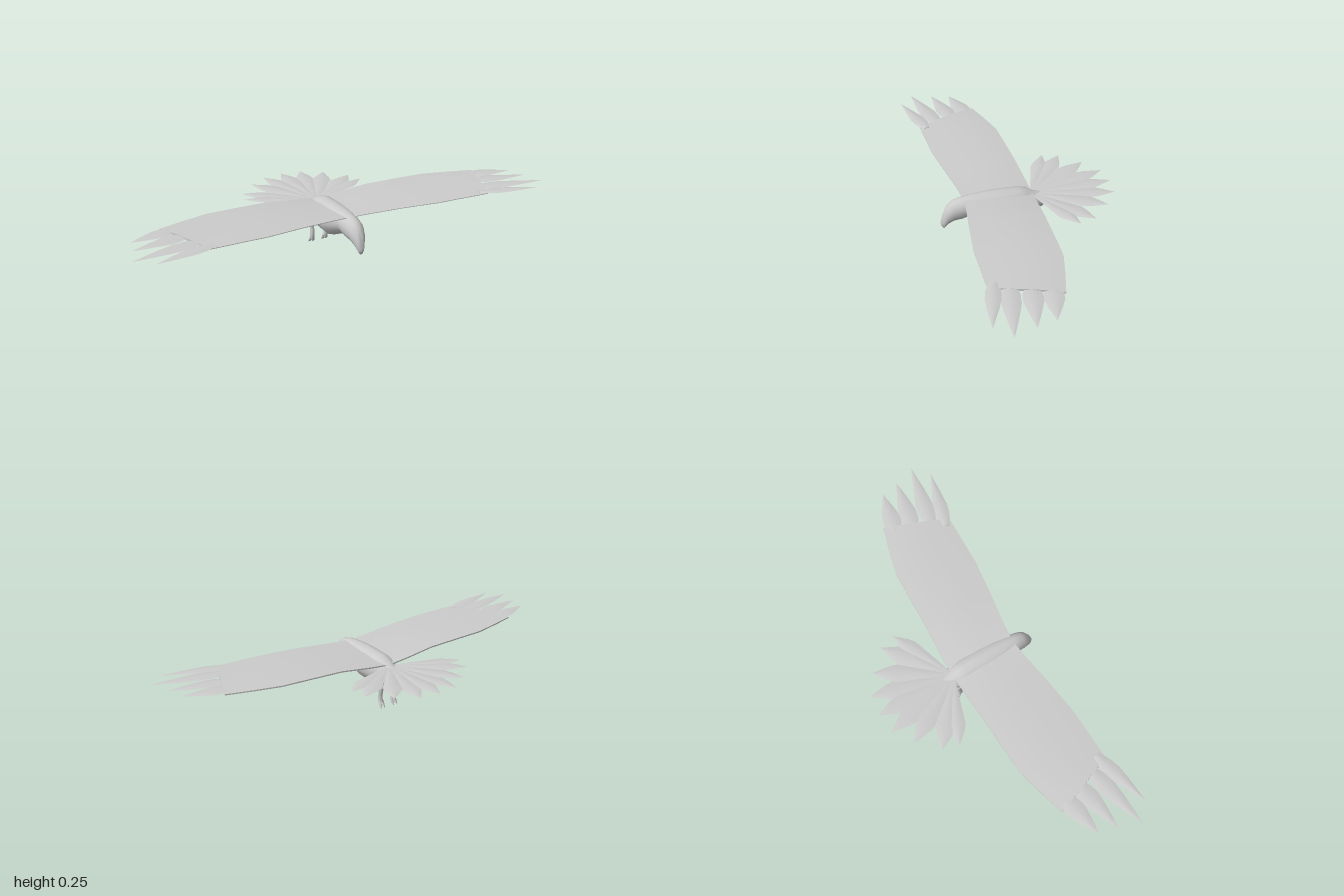
import * as THREE from 'three';
import { toCreasedNormals } from 'three/addons/utils/BufferGeometryUtils.js';

const material = new THREE.MeshStandardMaterial({ color: 0xcccccc, side: THREE.DoubleSide });

// Skin a list of equal-length rings ([x, y, z] points) and close both ends.
function loft(rings, crease = 0.9) {
  const n = rings[0].length, pos = rings.flat(2), index = [];
  for (let r = 0; r < rings.length - 1; r++) {
    for (let i = 0; i < n; i++) {
      const a = r * n + i, b = r * n + (i + 1) % n;
      index.push(a, b, b + n, a, b + n, a + n);
    }
  }
  const last = (rings.length - 1) * n;
  for (let i = 1; i < n - 1; i++) index.push(0, i + 1, i, last, last + i, last + i + 1);
  // Turn the faces outward if the enclosed volume is negative.
  const p = (i) => new THREE.Vector3().fromArray(pos, i * 3);
  let volume = 0;
  for (let i = 0; i < index.length; i += 3) {
    volume += p(index[i]).dot(p(index[i + 1]).cross(p(index[i + 2])));
  }
  if (volume < 0) index.reverse();
  const g = new THREE.BufferGeometry();
  g.setAttribute('position', new THREE.Float32BufferAttribute(pos, 3));
  g.setIndex(index);
  return toCreasedNormals(g, crease);
}

function add(parent, name, geometry) {
  const mesh = new THREE.Mesh(geometry, material);
  mesh.name = name;
  parent.add(mesh);
  return mesh;
}

// Flat pointed feather with a lens section; [t, relative width] along its length.
function feather(base, tip, halfWidth, thickness, profile) {
  const a = new THREE.Vector3(...base), b = new THREE.Vector3(...tip);
  const d = b.clone().sub(a).normalize();
  const rings = profile.map(([t, w]) => {
    const c = a.clone().lerp(b, t), s = halfWidth * w, h = thickness * Math.min(1, w * 1.4);
    return [[-1, 0], [-0.5, 0.75], [0, 1], [0.5, 0.75], [1, 0], [0.5, -0.75], [0, -1], [-0.5, -0.75]]
      .map(([u, v]) => [c.x - d.z * s * u, c.y + h * v, c.z + d.x * s * u]);
  });
  return loft(rings);
}

// Body, head and beak: [z, bottom, top, half width]
function bodyGeometry() {
  const sections = [
    [0.403, 0.108, 0.128, 0.004], [0.39, 0.089, 0.172, 0.017], [0.372, 0.112, 0.205, 0.029],
    [0.345, 0.127, 0.228, 0.038], [0.305, 0.132, 0.238, 0.043], [0.265, 0.146, 0.242, 0.048],
    [0.21, 0.121, 0.245, 0.06], [0.15, 0.094, 0.246, 0.068], [0.04, 0.097, 0.243, 0.064],
    [0, 0.109, 0.233, 0.056], [-0.03, 0.12, 0.212, 0.046], [-0.08, 0.141, 0.206, 0.034],
    [-0.14, 0.175, 0.202, 0.016], [-0.183, 0.195, 0.199, 0.003],
  ];
  const n = 14;
  return loft(sections.map(([z, y0, y1, w]) => Array.from({ length: n }, (_, i) => {
    const t = (i / n) * Math.PI * 2;
    return [w * Math.sin(t), (y0 + y1) / 2 + ((y1 - y0) / 2) * Math.cos(t), z];
  })), 1.2);
}

// Wing panel: [x back, z back, y back, x front, z front, y front]
function wingGeometry(side) {
  const sections = [
    [0.0, -0.022, 0.212, 0.0, 0.295, 0.229], [0.1, -0.019, 0.221, 0.1, 0.306, 0.233],
    [0.25, -0.012, 0.238, 0.25, 0.328, 0.239], [0.42, -0.006, 0.241, 0.42, 0.35, 0.24],
    [0.55, 0, 0.242, 0.52, 0.353, 0.241], [0.68, 0.033, 0.242, 0.61, 0.356, 0.241],
    [0.79, 0.065, 0.242, 0.68, 0.357, 0.241],
  ];
  const upper = [[0, 0.001], [0.15, 0.005], [0.4, 0.008], [0.7, 0.006], [1, 0.001]];
  const lower = [[1, -0.002], [0.7, -0.003], [0.4, -0.003], [0.15, -0.004], [0, -0.005]];
  return loft(sections.map(([xb, zb, yb, xf, zf, yf]) => [...upper, ...lower].map(([t, h]) => [
    side * (xb + (xf - xb) * t), yb + (yf - yb) * t + h, zb + (zf - zb) * t,
  ])));
}

// Tapered limb along a path of [x, y, z, radius]
function limb(points, side) {
  const n = 8;
  return loft(points.map(([x, y, z, r], k) => {
    const p = points[Math.max(0, k - 1)], q = points[Math.min(points.length - 1, k + 1)];
    const dy = q[1] - p[1], dz = q[2] - p[2], len = Math.hypot(dy, dz);
    return Array.from({ length: n }, (_, i) => {
      const t = (i / n) * Math.PI * 2, s = Math.sin(t) * r;
      return [side * (x + Math.cos(t) * r), y - (dz / len) * s, z + (dy / len) * s];
    });
  }), 1.2);
}

export function createModel() {
  const bird = new THREE.Group();
  bird.name = 'bird';
  add(bird, 'body', bodyGeometry());

  // Fanned tail
  const tail = new THREE.Group();
  tail.name = 'tail';
  bird.add(tail);
  const tailProfile = [[0, 0.05], [0.35, 0.52], [0.7, 1], [0.8, 0.78], [0.9, 0.4], [1, 0.02]];
  [[0, -0.4], [0.097, -0.387], [0.19, -0.325], [0.28, -0.235], [0.302, -0.16]].forEach(([x, z], i) => {
    for (const side of i ? [1, -1] : [1]) {
      const y = 0.208 - 0.0012 * (i % 2);
      add(tail, 'tailFeather', feather([0, 0.206, -0.015], [side * x, y, z], i === 4 ? 0.036 : 0.044, 0.0045, tailProfile));
    }
  });

  // Mirrored wings and legs
  const tipProfile = [[0, 0.55], [0.2, 0.95], [0.38, 1], [0.6, 0.7], [0.8, 0.37], [1, 0.02]];
  const tips = [ // base x, z, tip x, z, half width
    [0.74, 0.105, 0.945, 0.15, 0.043], [0.71, 0.185, 0.967, 0.235, 0.042],
    [0.68, 0.265, 1, 0.335, 0.04], [0.65, 0.325, 0.925, 0.4, 0.034],
  ];
  for (const side of [1, -1]) {
    const label = side > 0 ? 'left' : 'right';
    const wing = new THREE.Group();
    wing.name = label + 'Wing';
    bird.add(wing);
    add(wing, 'wingPanel', wingGeometry(side));
    for (const [bx, bz, tx, tz, w] of tips) {
      add(wing, 'wingTipFeather', feather([side * bx, 0.243, bz], [side * tx, 0.243, tz], w, 0.005, tipProfile));
    }

    const leg = new THREE.Group();
    leg.name = label + 'Leg';
    bird.add(leg);
    add(leg, 'shank', limb([
      [0.034, 0.14, 0.012, 0.014], [0.034, 0.118, 0, 0.014], [0.035, 0.1, -0.008, 0.011],
      [0.035, 0.07, -0.001, 0.01], [0.035, 0.045, 0.001, 0.011], [0.034, 0.025, -0.005, 0.01],
    ], side));
    // Curled toes
    for (const [dx, y, z] of [[-0.009, 0.003, -0.022], [0.009, 0.003, -0.024], [0, 0.014, -0.032]]) {
      add(leg, 'toe', limb([
        [0.034 + dx * 0.5, 0.034, -0.003, 0.008], [0.034 + dx, y * 0.5 + 0.013, z * 0.45, 0.006],
        [0.034 + dx, y, z, 0.001],
      ], side));
    }
  }
  return bird;
}
